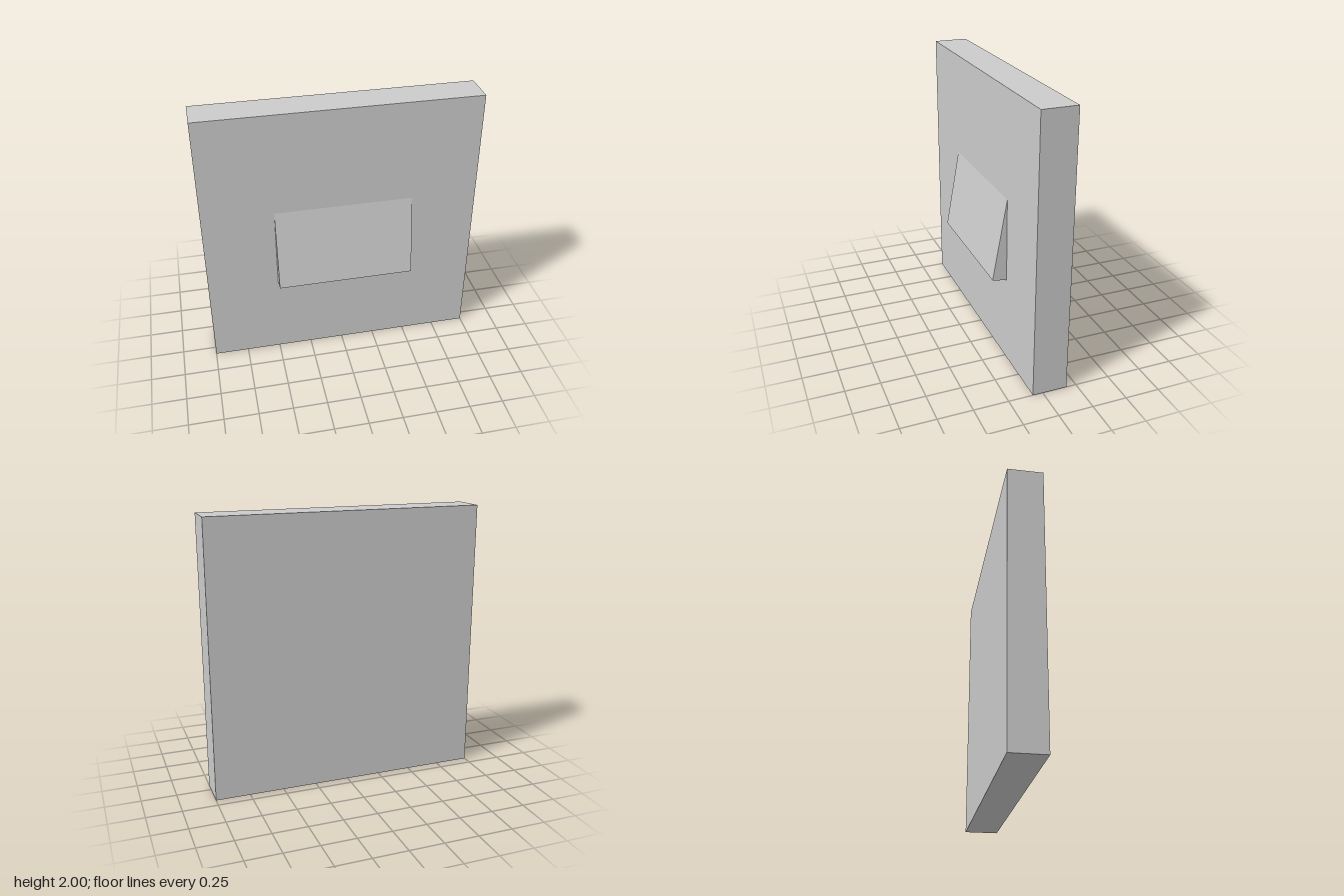
import * as THREE from 'three';

export function createModel() {
  const group = new THREE.Group();
  const material = new THREE.MeshStandardMaterial({ color: 0xcccccc, flatShading: true });

  // Square wall plate
  const plate = new THREE.Mesh(new THREE.BoxGeometry(2, 2, 0.25), material);
  plate.name = 'wallPlate';
  plate.position.set(0, 1, -0.052);
  group.add(plate);

  // Tilted rocker, pivoted on its lower front edge and sunk into the plate
  const rockerGeometry = new THREE.BoxGeometry(1, 0.62, 0.125);
  rockerGeometry.translate(0, 0.31, -0.0625);
  const rocker = new THREE.Mesh(rockerGeometry, material);
  rocker.name = 'rockerSwitch';
  rocker.position.set(0.015, 0.651, 0.177);
  rocker.rotation.x = -THREE.MathUtils.degToRad(10);
  group.add(rocker);

  return group;
}
